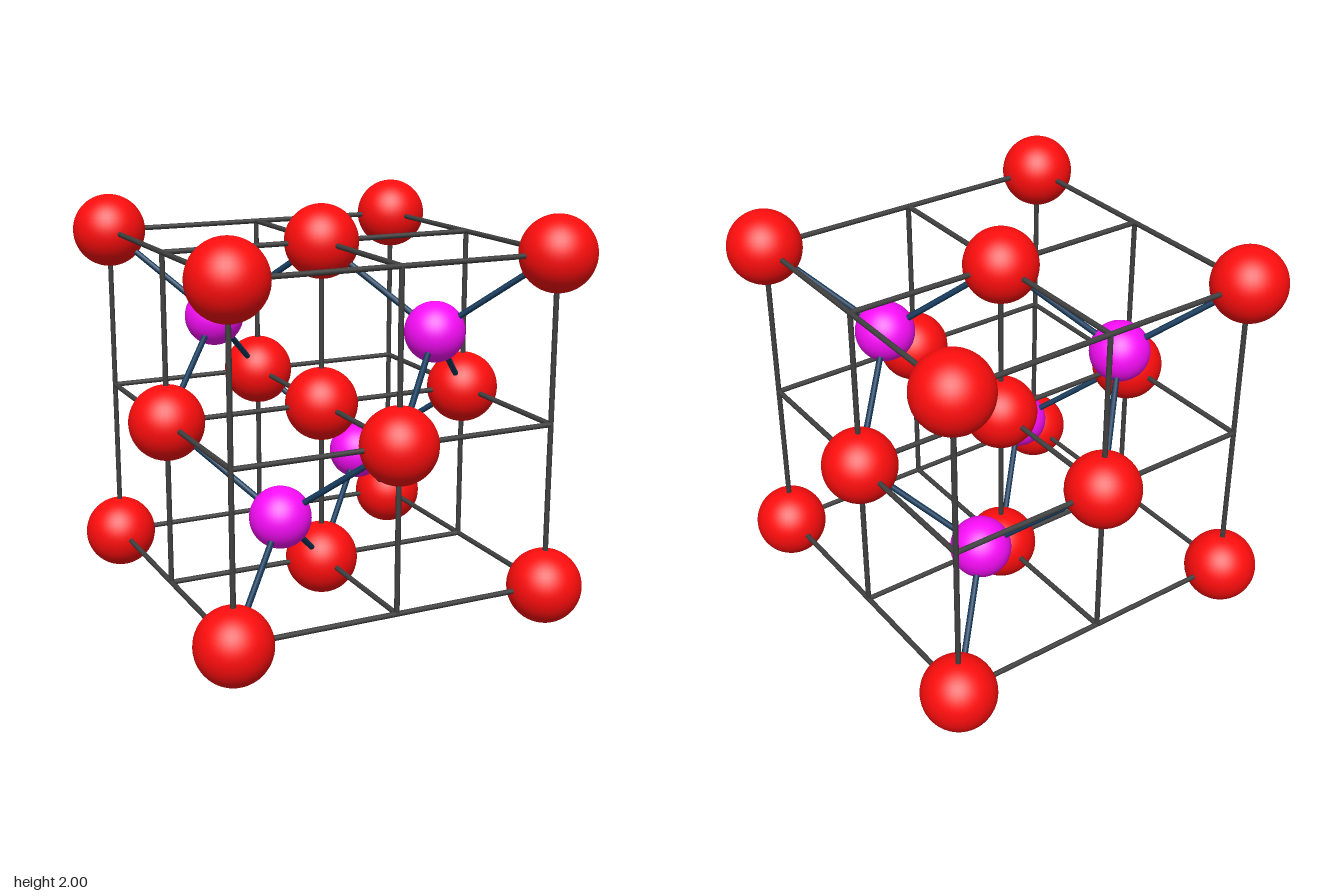
import * as THREE from 'three';

const H = 0.817; // half the cell edge
const paint = (color) => new THREE.MeshStandardMaterial({ color });
const toPoint = (i, j, k) => new THREE.Vector3(i * H, 1 + j * H, k * H);

export function createModel() {
  const model = new THREE.Group();
  const red = paint(0xff0d0d), magenta = paint(0xfa0dfa);
  const grey = paint(0x404040), blue = paint(0x12395c);
  const steps = [-1, 0, 1];

  const addGroup = (name) => {
    const group = new THREE.Group();
    group.name = name;
    model.add(group);
    return group;
  };
  const largeAtoms = addGroup('largeAtoms');
  const smallAtoms = addGroup('smallAtoms');
  const bonds = addGroup('bonds');
  const frame = addGroup('cellFrame');

  const largeBall = new THREE.SphereGeometry(0.183, 40, 28);
  const smallBall = new THREE.SphereGeometry(0.148, 40, 28);

  function addBall(group, name, geometry, material, p) {
    const ball = new THREE.Mesh(geometry, material);
    ball.name = name;
    ball.position.copy(p);
    group.add(ball);
  }

  // Round rod between two points
  function addRod(group, name, material, a, b, radius) {
    const dir = b.clone().sub(a);
    const rod = new THREE.Mesh(new THREE.CylinderGeometry(radius, radius, dir.length(), 12), material);
    rod.name = name;
    rod.position.copy(a).add(b).multiplyScalar(0.5);
    rod.quaternion.setFromUnitVectors(new THREE.Vector3(0, 1, 0), dir.normalize());
    group.add(rod);
  }

  // Large atoms: corners, face centres and body centre
  for (const i of steps) for (const j of steps) for (const k of steps) {
    const n = Math.abs(i) + Math.abs(j) + Math.abs(k);
    if (n !== 2) addBall(largeAtoms, 'largeAtom', largeBall, red, toPoint(i, j, k));
  }

  // Small atoms in alternate octants, each bonded to four large atoms
  for (const [x, y, z] of [[1, 1, 1], [-1, 1, -1], [-1, -1, 1], [1, -1, -1]]) {
    const centre = toPoint(x / 2, y / 2, z / 2);
    addBall(smallAtoms, 'smallAtom', smallBall, magenta, centre);
    for (const end of [[x, y, z], [x, 0, 0], [0, y, 0], [0, 0, z]]) {
      addRod(bonds, 'bond', blue, centre, toPoint(...end), 0.015);
    }
  }

  // Frame of 2 x 2 x 2 cells: nine rods along each axis
  for (const a of steps) for (const b of steps) {
    addRod(frame, 'frameRod', grey, toPoint(-1, a, b), toPoint(1, a, b), 0.013);
    addRod(frame, 'frameRod', grey, toPoint(a, -1, b), toPoint(a, 1, b), 0.013);
    addRod(frame, 'frameRod', grey, toPoint(a, b, -1), toPoint(a, b, 1), 0.013);
  }
  return model;
}
